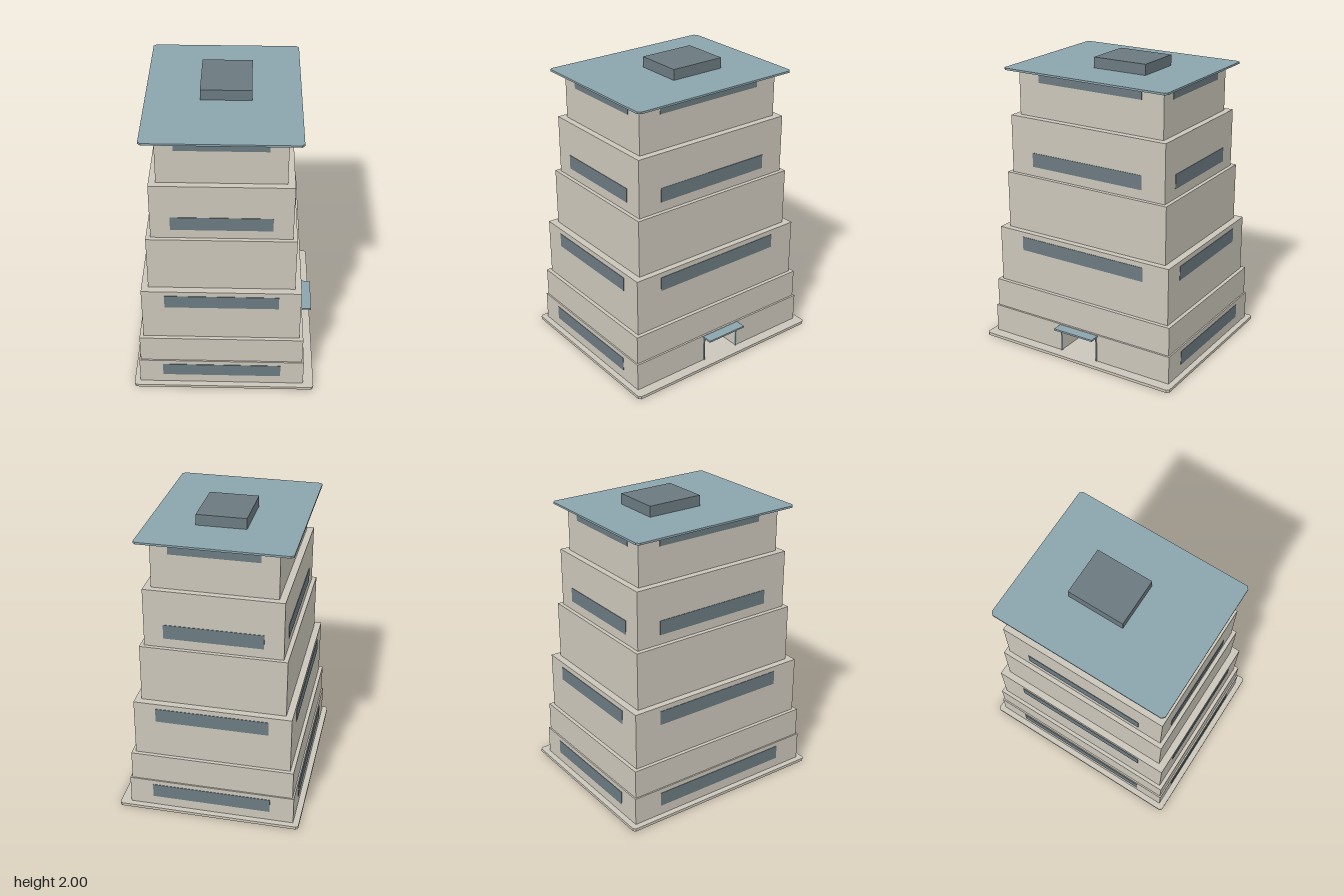
import * as THREE from 'three';

const mat = (name, color) => Object.assign(new THREE.MeshStandardMaterial({ color }), { name });

export function createModel() {
  const group = new THREE.Group();
  const concrete = mat('concrete', 0xcbc6ba);
  const roofBlue = mat('roofBlue', 0x8ba5ad);
  const darkGlass = mat('darkGlass', 0x6b7a80);

  const add = (name, geometry, material) => {
    const mesh = new THREE.Mesh(geometry, material);
    mesh.name = name;
    group.add(mesh);
    return mesh;
  };
  // Box given by its limits on each axis
  const box = (name, m, x0, x1, y0, y1, z0, z1) =>
    add(name, new THREE.BoxGeometry(x1 - x0, y1 - y0, z1 - z0), m)
      .position.set((x0 + x1) / 2, (y0 + y1) / 2, (z0 + z1) / 2);
  // Plan outline of [x, z] points raised from y0 to y1
  const prism = (name, m, points, y0, y1) => {
    const shape = new THREE.Shape(points.map(([x, z]) => new THREE.Vector2(x, -z)));
    const g = new THREE.ExtrudeGeometry(shape, { depth: y1 - y0, bevelEnabled: false });
    g.rotateX(-Math.PI / 2);
    add(name, g, m).position.y = y0;
  };
  // Rectangle with clipped corners
  const clipped = (x0, x1, z, c) => [
    [x0 + c, z], [x1 - c, z], [x1, z - c], [x1, c - z],
    [x1 - c, -z], [x0 + c, -z], [x0, c - z], [x0, z - c],
  ];

  prism('baseSlab', concrete, clipped(-0.62, 0.615, 0.742, 0.015), 0, 0.02);

  // Ground floor with an open doorway in its +x wall
  const d = 0.142, inner = 0.05;
  prism('groundFloor', concrete, [
    [-0.58, 0.702], [0.543, 0.702], [0.543, d], [inner, d],
    [inner, -d], [0.543, -d], [0.543, -0.702], [-0.58, -0.702],
  ], 0.02, 0.216);
  box('doorwayCeiling', concrete, inner, 0.543, 0.193, 0.216, -d, d);

  // Stepped upper floors: x0, x1, half depth, y0, y1
  [
    [-0.57, 0.53, 0.692, 0.216, 0.416],
    [-0.545, 0.504, 0.666, 0.416, 0.81],
    [-0.5, 0.462, 0.618, 0.81, 1.206],
    [-0.47, 0.435, 0.592, 1.206, 1.603],
    [-0.425, 0.388, 0.549, 1.603, 1.915],
  ].forEach(([x0, x1, z, y0, y1], i) => box(`floor${i + 2}`, concrete, x0, x1, y0, y1, -z, z));

  // Window bands: wall x0, x1, half depth, then band half width, half length, y0, y1
  const t = 0.003, cx = -0.018;
  [
    [-0.58, 0.543, 0.702, 0.402, 0.502, 0.087, 0.184],
    [-0.545, 0.504, 0.666, 0.376, 0.477, 0.678, 0.775],
    [-0.47, 0.435, 0.592, 0.325, 0.423, 1.27, 1.367],
    [-0.425, 0.388, 0.549, 0.292, 0.392, 1.838, 1.892],
  ].forEach(([x0, x1, z, w, l, y0, y1], i) => {
    box('frontWindow', darkGlass, cx - w, cx + w, y0, y1, z - t, z + t);
    box('backWindow', darkGlass, cx - w, cx + w, y0, y1, -z - t, -z + t);
    box('rightWindow', darkGlass, x0 - t, x0 + t, y0, y1, -l, l);
    if (i > 0) box('leftWindow', darkGlass, x1 - t, x1 + t, y0, y1, -l, l);
  });

  // Door frame and canopy
  for (const s of [-1, 1]) {
    box('doorPost', roofBlue, 0.535, 0.549, 0.02, 0.193, s * 0.142 - 0.004, s * 0.142 + 0.004);
  }
  box('doorLintel', roofBlue, 0.535, 0.558, 0.19, 0.2, -0.146, 0.146);
  box('doorCanopy', roofBlue, 0.54, 0.615, 0.2, 0.212, -0.152, 0.152);

  // Roof slab and rooftop plant box
  prism('roofSlab', roofBlue, clipped(-0.515, 0.476, 0.614, 0.018), 1.915, 1.928);
  box('rooftopUnit', darkGlass, -0.166, 0.162, 1.928, 2, -0.28, 0.11);

  return group;
}
